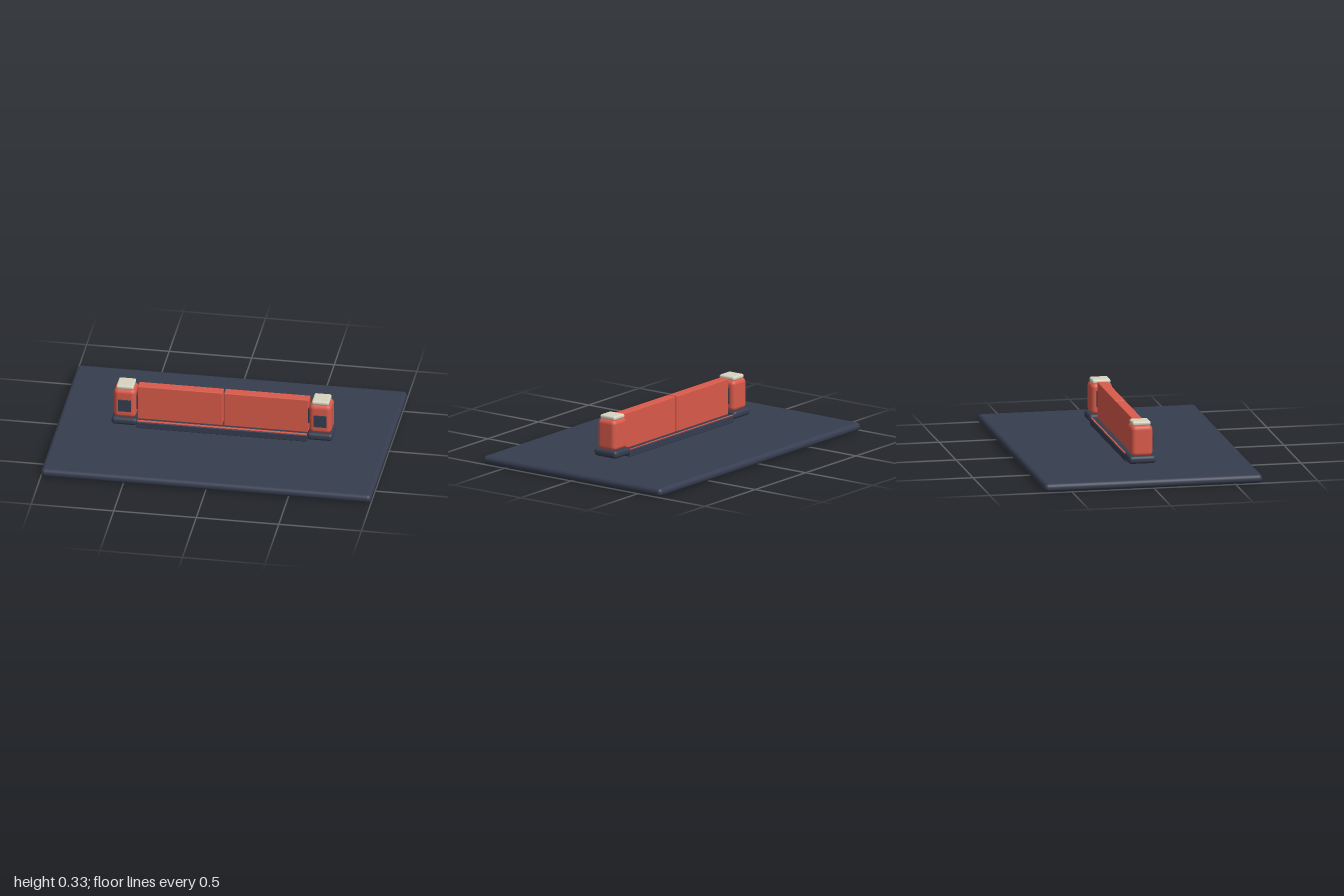
import * as THREE from 'three';
import { RoundedBoxGeometry } from 'three/addons/geometries/RoundedBoxGeometry.js';

const material = (name, color) => {
  const m = new THREE.MeshStandardMaterial({ color });
  m.name = name;
  return m;
};

export function createModel() {
  const navy = material('navy', 0x363d4f);
  const red = material('red', 0xd95a4a);
  const cream = material('cream', 0xd8d4c0);
  const model = new THREE.Group();
  model.name = 'slidingGate';

  // Box spanning y0..y1, rounded when a radius is given
  function block(parent, name, mat, w, d, y0, y1, x = 0, z = 0, radius = 0) {
    const h = y1 - y0;
    const geometry = radius
      ? new RoundedBoxGeometry(w, h, d, 4, radius)
      : new THREE.BoxGeometry(w, h, d);
    const mesh = new THREE.Mesh(geometry, mat);
    mesh.name = name;
    mesh.position.set(x, (y0 + y1) / 2, z);
    parent.add(mesh);
  }

  // Ground slab and floor track
  block(model, 'groundSlab', navy, 2, 1.332, 0, 0.052, 0, 0, 0.025);
  block(model, 'floorTrack', navy, 1.036, 0.152, 0.06, 0.102, 0, 0, 0.005);

  // Thin red strips along the track
  block(model, 'frontTrackStrip', red, 1.03, 0.018, 0.1, 0.105, 0, 0.061);
  block(model, 'backTrackStrip', red, 1.03, 0.009, 0.1, 0.105, 0, -0.067);

  for (const [side, name] of [[1, 'left'], [-1, 'right']]) {
    // Door panel, meeting its twin at a narrow central gap
    block(model, name + 'Panel', red, 0.514, 0.062, 0.1, 0.32, side * 0.262, 0, 0.005);

    // Post with foot, cap, front plate and inner guide
    const post = new THREE.Group();
    post.name = name + 'Post';
    post.position.x = side * 0.592;
    block(post, 'foot', navy, 0.155, 0.166, 0.075, 0.123, 0, 0, 0.02);
    block(post, 'body', red, 0.134, 0.132, 0.115, 0.307, 0, 0, 0.028);
    block(post, 'cap', cream, 0.104, 0.112, 0.303, 0.329, 0, 0, 0.011);
    block(post, 'frontPlate', navy, 0.078, 0.009, 0.164, 0.24, 0, 0.069);
    block(post, 'innerGuide', navy, 0.014, 0.07, 0.165, 0.265, side * -0.07, 0, 0.004);
    model.add(post);
  }
  return model;
}
